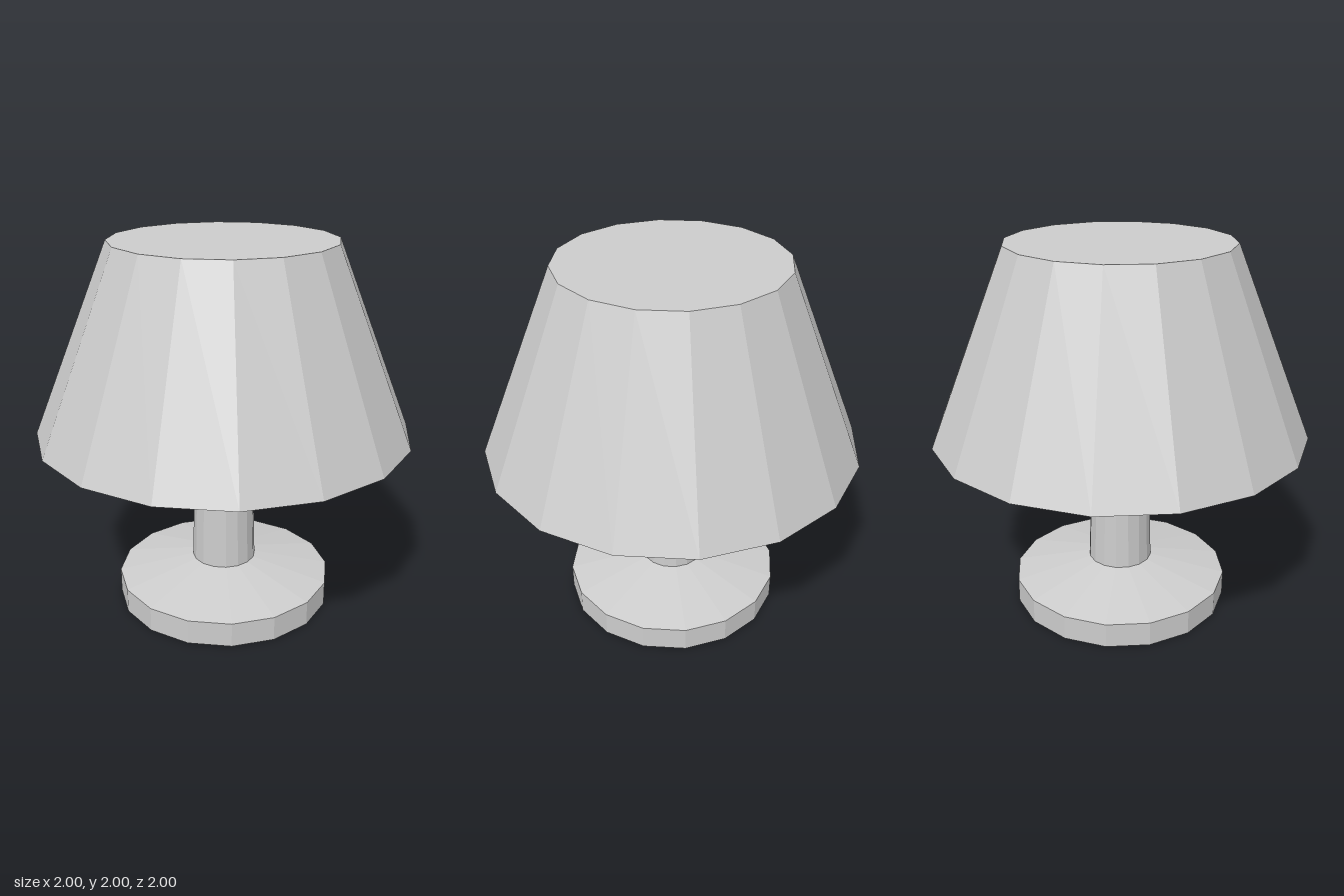
import * as THREE from 'three';

const SIDES = 16;

export function createModel() {
  const lamp = new THREE.Group();
  lamp.name = 'tableLamp';

  const grey = new THREE.MeshStandardMaterial({ color: 0xcccccc, flatShading: true });
  grey.name = 'lightGrey';

  // Faceted turned part from [radius, height] points, listed bottom to top
  const turned = (name, profile) => {
    const points = profile.map(([r, y]) => new THREE.Vector2(r, y));
    const mesh = new THREE.Mesh(new THREE.LatheGeometry(points, SIDES), grey);
    mesh.name = name;
    lamp.add(mesh);
  };

  // Round foot with a sloping top
  turned('base', [[0, 0], [0.59, 0], [0.59, 0.135], [0.175, 0.225]]);
  // Slightly tapering column
  turned('stem', [[0.175, 0.225], [0.155, 0.985]]);
  // Closed conical shade
  turned('shade', [[0, 0.985], [1, 0.985], [0.59, 2], [0, 2]]);

  return lamp;
}
